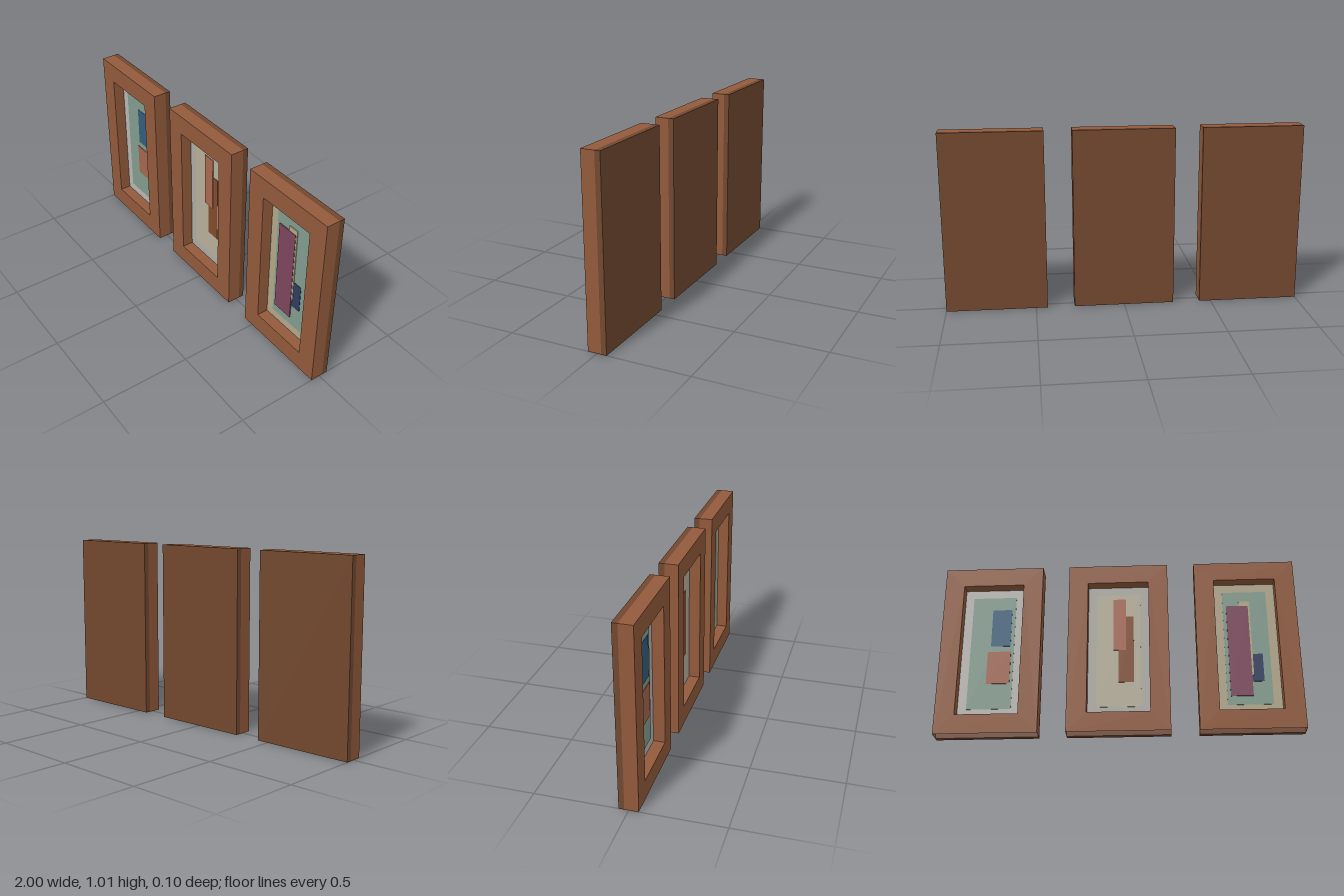
import * as THREE from 'three';
import { mergeGeometries } from 'three/addons/utils/BufferGeometryUtils.js';

const W = 0.565, H = 1.01, BORDER = 0.11;
const FRONT = 0.052, JOINT = -0.022, BACK = -0.052, MAT_Z = -0.012;

const paint = (color, side = THREE.FrontSide) => new THREE.MeshStandardMaterial({ color, side });

// Flat wall through an open run of [x, y] points, from the joint to the front
function wall(points) {
  const quads = [];
  for (let i = 0; i + 1 < points.length; i++) {
    const [ax, ay] = points[i], [bx, by] = points[i + 1];
    const quad = new THREE.PlaneGeometry(Math.hypot(bx - ax, by - ay), FRONT - JOINT);
    quad.rotateX(Math.PI / 2);
    quad.rotateZ(Math.atan2(by - ay, bx - ax));
    quad.translate((ax + bx) / 2, (ay + by) / 2, (FRONT + JOINT) / 2);
    quads.push(quad);
  }
  return quads;
}

// Hollow moulding: front face with a window, outer walls open below, inner reveal
function frameGeometry() {
  const x = W / 2, ix = x - BORDER, y0 = BORDER, y1 = H - BORDER;
  const outer = [[x, 0], [x, H], [-x, H], [-x, 0]];
  const inner = [[-ix, y0], [-ix, y1], [ix, y1], [ix, y0], [-ix, y0]];
  const toVectors = (pts) => pts.map(([px, py]) => new THREE.Vector2(px, py));
  const shape = new THREE.Shape(toVectors(outer));
  shape.holes.push(new THREE.Path(toVectors(inner.slice(0, 4))));
  const face = new THREE.ShapeGeometry(shape).translate(0, 0, FRONT);
  return mergeGeometries([face, ...wall(outer), ...wall(inner)]);
}

function slab(name, color, x0, x1, y0, y1, z0, z1) {
  const mesh = new THREE.Mesh(new THREE.BoxGeometry(x1 - x0, y1 - y0, z1 - z0), paint(color));
  mesh.position.set((x0 + x1) / 2, (y0 + y1) / 2, (z0 + z1) / 2);
  mesh.name = name;
  return mesh;
}

// Blocks: [color, left, right, bottom, top] about the picture centre, back to front
const pictures = [
  { x: -0.7175, mat: 0xb9b8b4, field: 0x849d8f, blocks: [
    [0x345d7c, -0.008, 0.103, 0.54, 0.77],
    [0xa5664f, -0.023, 0.108, 0.31, 0.505],
  ] },
  { x: 0, mat: 0xaeaca5, field: 0xb8b09c, blocks: [
    [0x834b2b, 0, 0.085, 0.305, 0.71],
    [0xaa6a52, -0.03, 0.042, 0.5, 0.82],
  ] },
  { x: 0.7175, mat: 0xb2a88b, field: 0x849d8f, blocks: [
    [0x2d3d60, 0.015, 0.083, 0.295, 0.46],
    [0xb3aa88, -0.033, 0.028, 0.33, 0.79],
    [0x7e465d, -0.105, 0.018, 0.21, 0.76],
  ] },
];

export function createModel() {
  const model = new THREE.Group();
  model.name = 'framedPictureTriptych';
  const moulding = frameGeometry();
  const wood = paint(0x925a3b, THREE.DoubleSide);

  pictures.forEach(({ x, mat, field, blocks }, i) => {
    const picture = new THREE.Group();
    picture.name = ['rightPicture', 'middlePicture', 'leftPicture'][i];
    picture.position.x = x;

    const frame = new THREE.Mesh(moulding, wood);
    frame.name = 'frame';
    picture.add(frame);

    // Backing board and mat behind the window
    picture.add(slab('backingBoard', 0x72482f, -W / 2, W / 2, 0, H, BACK, JOINT));
    const mx = W / 2 - BORDER;
    picture.add(slab('mat', mat, -mx, mx, BORDER, H - BORDER, JOINT, MAT_Z));

    // Painted field and its overlapping colour blocks
    picture.add(slab('paintedField', field, -0.124, 0.124, 0.16, 0.85, MAT_Z, MAT_Z + 0.002));
    blocks.forEach(([color, x0, x1, y0, y1], n) => {
      picture.add(slab('colorBlock' + (n + 1), color, x0, x1, y0, y1, MAT_Z, MAT_Z + 0.004 + n * 0.002));
    });
    model.add(picture);
  });
  return model;
}
